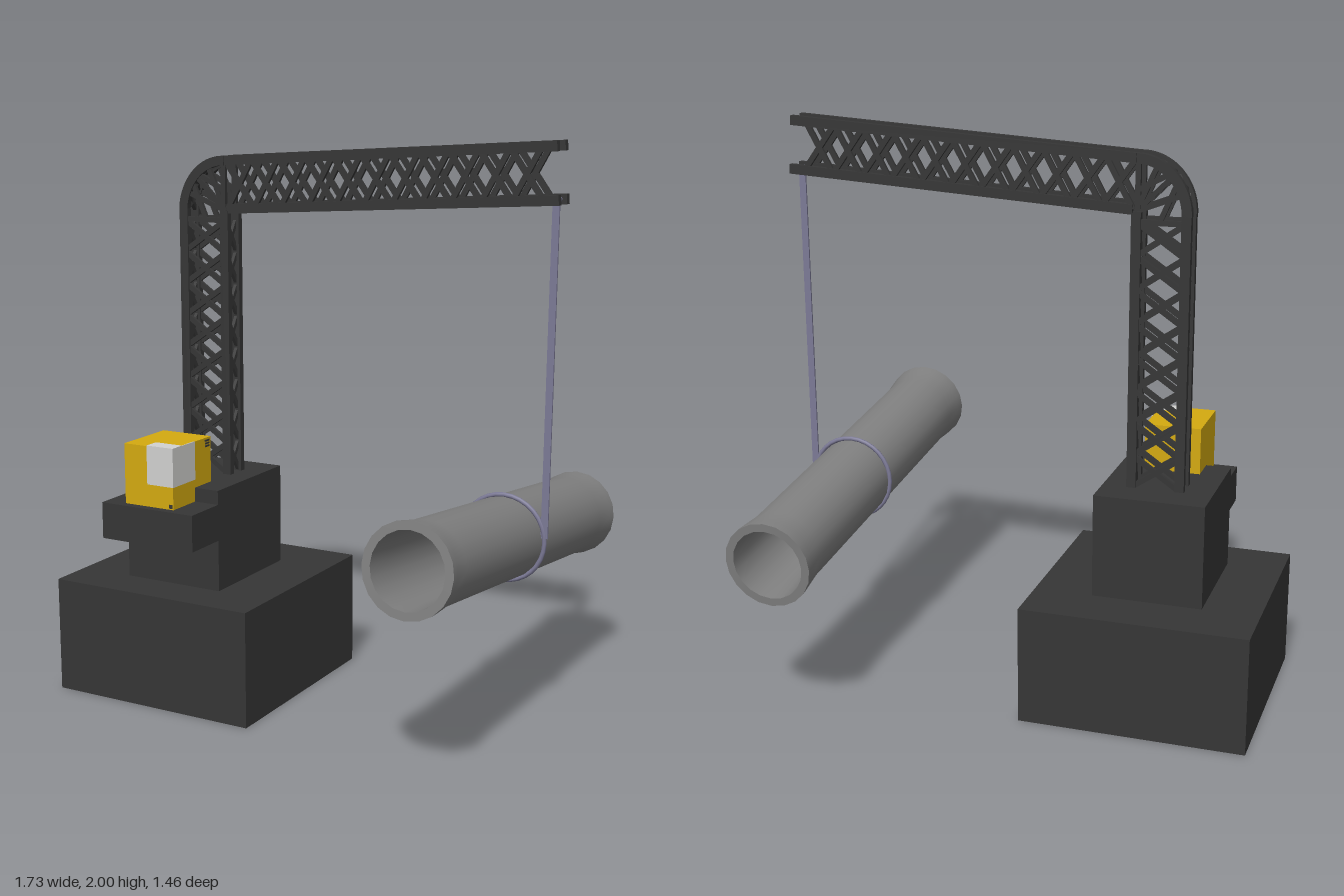
import * as THREE from 'three';
import { mergeGeometries } from 'three/addons/utils/BufferGeometryUtils.js';

const mat = (name, color) => {
  const m = new THREE.MeshStandardMaterial({ color });
  m.name = name;
  return m;
};

export function createModel() {
  const steel = mat('darkSteel', 0x363636);
  const concrete = mat('pipeGrey', 0x808080);
  const yellow = mat('cabYellow', 0xd4aa10);
  const pale = mat('windowPale', 0xd2d2d0);
  const cable = mat('cableLilac', 0x7c7a96);
  const model = new THREE.Group();

  const add = (name, geo, material, x = 0, y = 0, z = 0, parent = model) => {
    const m = new THREE.Mesh(geo, material);
    m.name = name;
    m.position.set(x, y, z);
    parent.add(m);
    return m;
  };
  // Box given by its limits on each axis
  const block = (name, material, x0, x1, y0, y1, z0, z1) =>
    add(name, new THREE.BoxGeometry(x1 - x0, y1 - y0, z1 - z0), material,
      (x0 + x1) / 2, (y0 + y1) / 2, (z0 + z1) / 2);
  // Rectangular bar between two points: w is horizontal, h the other way
  const bar = (a, b, w, h) => {
    const p = new THREE.Vector3(...a), q = new THREE.Vector3(...b);
    const o = new THREE.Object3D();
    o.position.copy(p).lerp(q, 0.5);
    o.lookAt(q);
    o.updateMatrix();
    return new THREE.BoxGeometry(w, h, p.distanceTo(q)).applyMatrix4(o.matrix);
  };

  // Lattice girder along local x: four chords, crossed braces on all four faces
  const H = 0.084, D = 0.036;
  const truss = (length, braced, panels) => {
    const parts = [];
    for (const y of [-H, H]) for (const z of [-D, D]) {
      parts.push(bar([0, y, z], [length, y, z], 0.022, 0.033));
    }
    const step = braced / panels;
    for (let i = 0; i < panels; i++) {
      const x0 = i * step, x1 = x0 + step;
      for (const s of [-1, 1]) for (const f of [-1, 1]) {
        parts.push(bar([x0, -H * f, D * s], [x1, H * f, D * s], 0.012, 0.019));
        parts.push(bar([x0, H * s, -D * f], [x1, H * s, D * f], 0.015, 0.012));
      }
    }
    return mergeGeometries(parts);
  };

  // Foundation, pedestal and side platform
  block('base', steel, -0.865, -0.075, 0, 0.415, -0.38, 0.4);
  block('pedestal', steel, -0.665, -0.28, 0.415, 0.78, -0.19, 0.24);
  block('platform', steel, -0.655, -0.28, 0.6, 0.73, 0.24, 0.405);

  // Operator cab with a window wrapping its front corner
  block('cab', yellow, -0.575, -0.375, 0.73, 0.945, 0.135, 0.375);
  block('frontWindow', pale, -0.48, -0.373, 0.81, 0.947, 0.374, 0.378);
  block('sideWindow', pale, -0.376, -0.372, 0.81, 0.947, 0.24, 0.378);
  block('roofWindow', pale, -0.48, -0.372, 0.944, 0.948, 0.32, 0.378);
  for (let i = 0; i < 3; i++) {
    block('sideVent', steel, -0.376, -0.372, 0.912 + i * 0.01, 0.918 + i * 0.01, 0.145, 0.172);
  }
  block('frontVent', steel, -0.392, -0.378, 0.735, 0.748, 0.374, 0.378);

  // Mast and boom
  const mast = add('mast', truss(0.95, 0.915, 8), steel, -0.465, 0.78, -0.027);
  mast.rotation.z = Math.PI / 2;
  const boom = add('boom', truss(1.234, 1.18, 11), steel, -0.375, 1.82, -0.031);
  boom.rotation.set(0, -0.01, 0.061);

  // Curved elbow joining mast and boom
  const cx = -0.38, cy = 1.72;
  const arc = new THREE.Shape();
  arc.absellipse(cx, cy, 0.187, 0.2, Math.PI, Math.PI / 2, true);
  arc.absellipse(cx, cy, 0.153, 0.167, Math.PI / 2, Math.PI, false);
  const elbow = new THREE.Group();
  elbow.name = 'elbow';
  model.add(elbow);
  const rim = a => [cx + 0.17 * Math.cos(a), cy + 0.183 * Math.sin(a)];
  const braces = [];
  for (const z of [-0.064, -0.012 + 0.02]) {
    add('elbowChord', new THREE.ExtrudeGeometry(arc, { depth: 0.022, bevelEnabled: false, curveSegments: 10 }),
      steel, 0, 0, z - 0.01, elbow);
    const zc = z + 0.001;
    braces.push(bar([-0.56, 1.695, zc], [-0.37, 1.695, zc], 0.014, 0.018));
    braces.push(bar([-0.385, 1.73, zc], [-0.385, 1.905, zc], 0.018, 0.014));
    for (const a of [2.0, 2.36, 2.75]) {
      braces.push(bar([cx, cy + 0.01, zc], [...rim(a), zc], 0.012, 0.017));
    }
    braces.push(bar([-0.46, 1.7, zc], [...rim(2.5), zc], 0.012, 0.017));
    braces.push(bar([-0.385, 1.8, zc], [...rim(2.3), zc], 0.012, 0.017));
  }
  // Cross ties across the outside of the elbow
  for (let i = 0; i < 4; i++) {
    const p = rim(Math.PI / 2 + i * Math.PI / 8), q = rim(Math.PI / 2 + (i + 1) * Math.PI / 8);
    for (const f of [-1, 1]) {
      braces.push(bar([...p, -0.027 - D * f], [...q, -0.027 + D * f], 0.014, 0.014));
    }
  }
  add('elbowBraces', mergeGeometries(braces), steel, 0, 0, 0, elbow);

  // Hollow pipe with flared ends
  const half = 0.717;
  const wall = [
    [0.124, -half], [0.152, -half], [0.152, -half], [0.149, -0.68], [0.141, -0.6],
    [0.141, 0.6], [0.149, 0.68], [0.152, half], [0.152, half], [0.124, half],
    [0.124, half], [0.12, 0.6], [0.12, -0.6], [0.124, -half],
  ].map(p => new THREE.Vector2(...p));
  // Ends, outside and bore are separate lathes so the rims stay sharp
  const pipe = new THREE.Group();
  pipe.name = 'pipe';
  pipe.position.set(0.683, 0.685, 0.003);
  pipe.rotation.x = Math.PI / 2 - 0.112;
  model.add(pipe);
  for (const [name, from, to] of [['pipeEnd', 0, 2], ['pipeOutside', 2, 8], ['pipeEnd', 8, 10], ['pipeBore', 10, 14]]) {
    add(name, new THREE.LatheGeometry(wall.slice(from, to), 20), concrete, 0, 0, 0, pipe);
  }

  // Sling around the pipe and its two hoisting strands
  add('slingHoop', new THREE.TorusGeometry(0.147, 0.008, 8, 32), cable, 0.685, 0.684, -0.015);
  const strands = [0.826, 0.836].map(x => bar([x, 0.7, -0.015], [x + 0.007, 1.81, -0.015], 0.007, 0.014));
  add('hoistCable', mergeGeometries(strands), cable);
  // Pin holding the cable across the lower chords
  const pin = add('cablePin', new THREE.CylinderGeometry(0.009, 0.009, 0.07, 8), cable, 0.838, 1.81, -0.02);
  pin.rotation.x = Math.PI / 2;

  return model;
}
